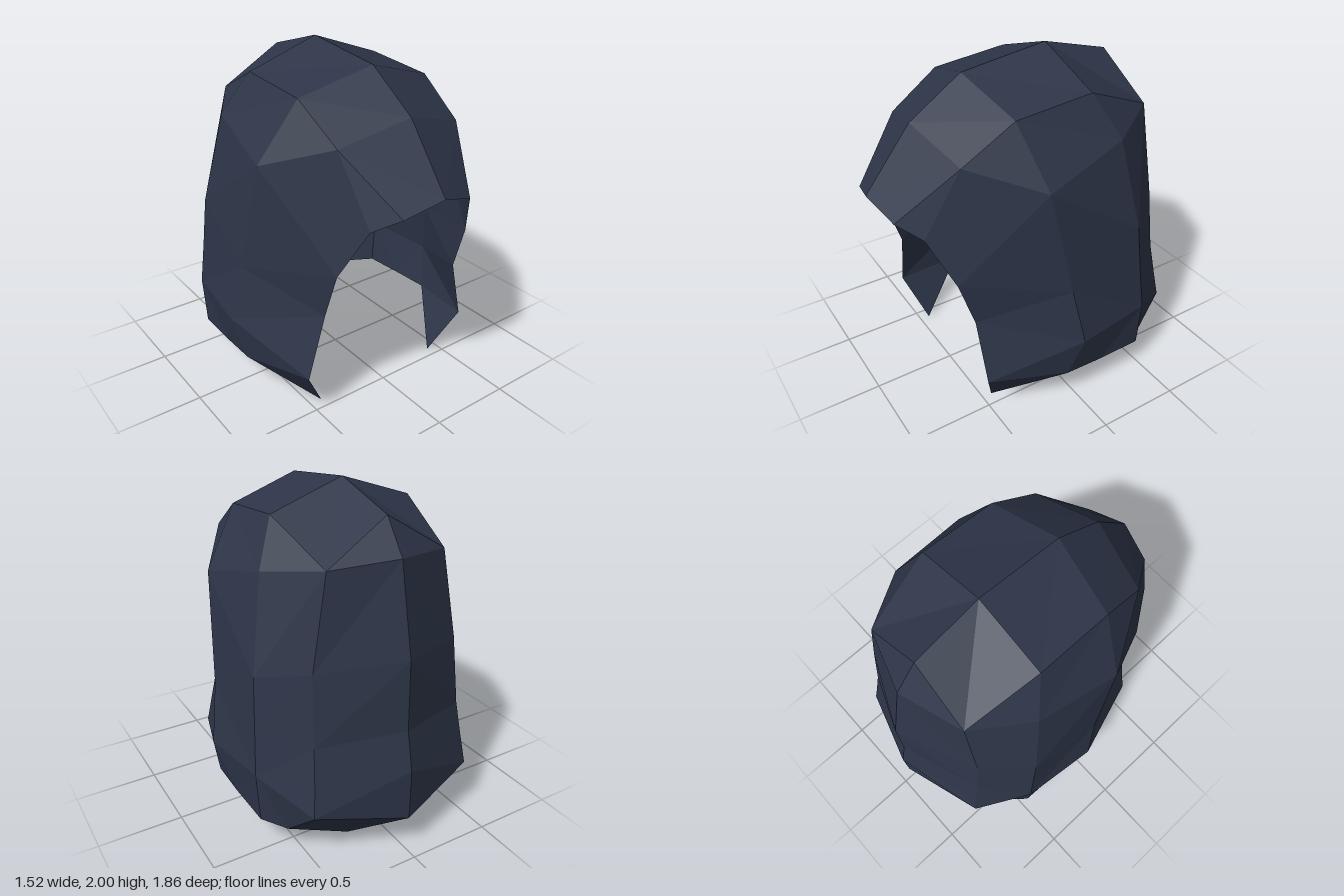
import * as THREE from 'three';

// Outline points of the left half, grouped by the line they lie on
const P = {
  // centre line, front peak over the crown to the nape
  c0: [0, 1.365, 0.93], c1: [0, 1.72, 0.65], c2: [0, 1.93, 0.335], c3: [0, 2, -0.2], c4: [0, 1.885, -0.62],
  c5: [0, 1.695, -0.76], c6: [0, 1.18, -0.87], c7: [0, 0.77, -0.88], c8: [0, 0.54, -0.93], c9: [0, 0.23, -0.93],
  // second line, over the temple and down the back
  b0: [0.23, 1.295, 0.88], b1: [0.405, 1.61, 0.57], b2: [0.435, 1.805, 0.27], b3: [0.44, 1.85, -0.2], b4: [0.365, 1.66, -0.64],
  b5: [0.46, 1.13, -0.665], b6: [0.48, 0.72, -0.71], b7: [0.5, 0.5, -0.75], b8: [0.52, 0.33, -0.78],
  // rear side line
  n1: [0.57, 1.6, -0.32], n2: [0.67, 1.06, -0.41], n3: [0.69, 0.76, -0.44], n4: [0.71, 0.49, -0.47],
  // middle side line
  m1: [0.645, 1.46, 0.19], m2: [0.7, 0.82, 0.06], m3: [0.76, 0.47, 0],
  // face opening
  r1: [0.35, 1.22, 0.77], r2: [0.465, 0.95, 0.65], r3: [0.48, 0.67, 0.56], r4: [0.58, 0.285, 0.545],
  // lower rim, cheek tip to nape
  t0: [0.425, 0.005, 0.44], t1: [0.7, 0.21, 0.07], t2: [0.7, 0.2, -0.18], t3: [0.69, 0.19, -0.47],
  t4: [0.58, 0.16, -0.59], t5: [0.27, 0.1, -0.72], t6: [0, 0.08, -0.745],
};

// Panels as corner lists, each fanned into triangles
const PARTS = {
  crown: 'c0 b0 b1 c1,c1 b1 b2 c2,c2 b2 b3 c3,c3 b3 b4 c4,c4 b4 c5',
  sidePanel: 'b0 r1 b1,r1 r2 b1,b1 r2 m1,b1 m1 b2,b2 m1 n1 b3,b3 n1 b4,r2 r3 m2,r2 m2 m1,r3 r4 m3,r3 m3 m2,' +
    'm1 m2 n2,m1 n2 n1,m2 n3 n2,m2 m3 n4,m2 n4 n3',
  backPanel: 'c5 b4 b5 c6,c6 b5 b6 c7,c7 b6 b7 c8,c8 b7 b8 c9,b4 n1 n2 b5,b5 n2 n3 b6,b6 n3 n4 b7,b7 n4 b8',
  lowerRim: 'r4 t0 t1 m3,m3 t1 t2,m3 t2 n4,n4 t2 t3,n4 t3 t4 b8,b8 t4 t5 c9,c9 t5 t6',
};

// Unshared corners keep every facet flat; all triangles are turned outwards
function panelGeometry(list, side) {
  const positions = [];
  const inside = new THREE.Vector3(0, 0.9, 0);
  for (const panel of list.split(',')) {
    const v = panel.split(' ').map((k) => new THREE.Vector3(P[k][0] * side, P[k][1], P[k][2]));
    for (let i = 1; i < v.length - 1; i++) {
      const tri = [v[0], v[i], v[i + 1]];
      const normal = new THREE.Triangle(...tri).getNormal(new THREE.Vector3());
      if (normal.dot(tri[1].clone().sub(inside)) < 0) tri.reverse();
      for (const p of tri) positions.push(p.x, p.y, p.z);
    }
  }
  const geometry = new THREE.BufferGeometry();
  geometry.setAttribute('position', new THREE.Float32BufferAttribute(positions, 3));
  geometry.computeVertexNormals();
  return geometry;
}

export function createModel() {
  const group = new THREE.Group();
  group.name = 'hood';
  const cloth = new THREE.MeshStandardMaterial({ color: 0x2d3548, side: THREE.DoubleSide, flatShading: true });
  cloth.name = 'dark slate blue';

  // Both halves of each part
  for (const [name, list] of Object.entries(PARTS)) {
    for (const side of [1, -1]) {
      const mesh = new THREE.Mesh(panelGeometry(list, side), cloth);
      mesh.name = name + (side > 0 ? 'Left' : 'Right');
      group.add(mesh);
    }
  }
  return group;
}
